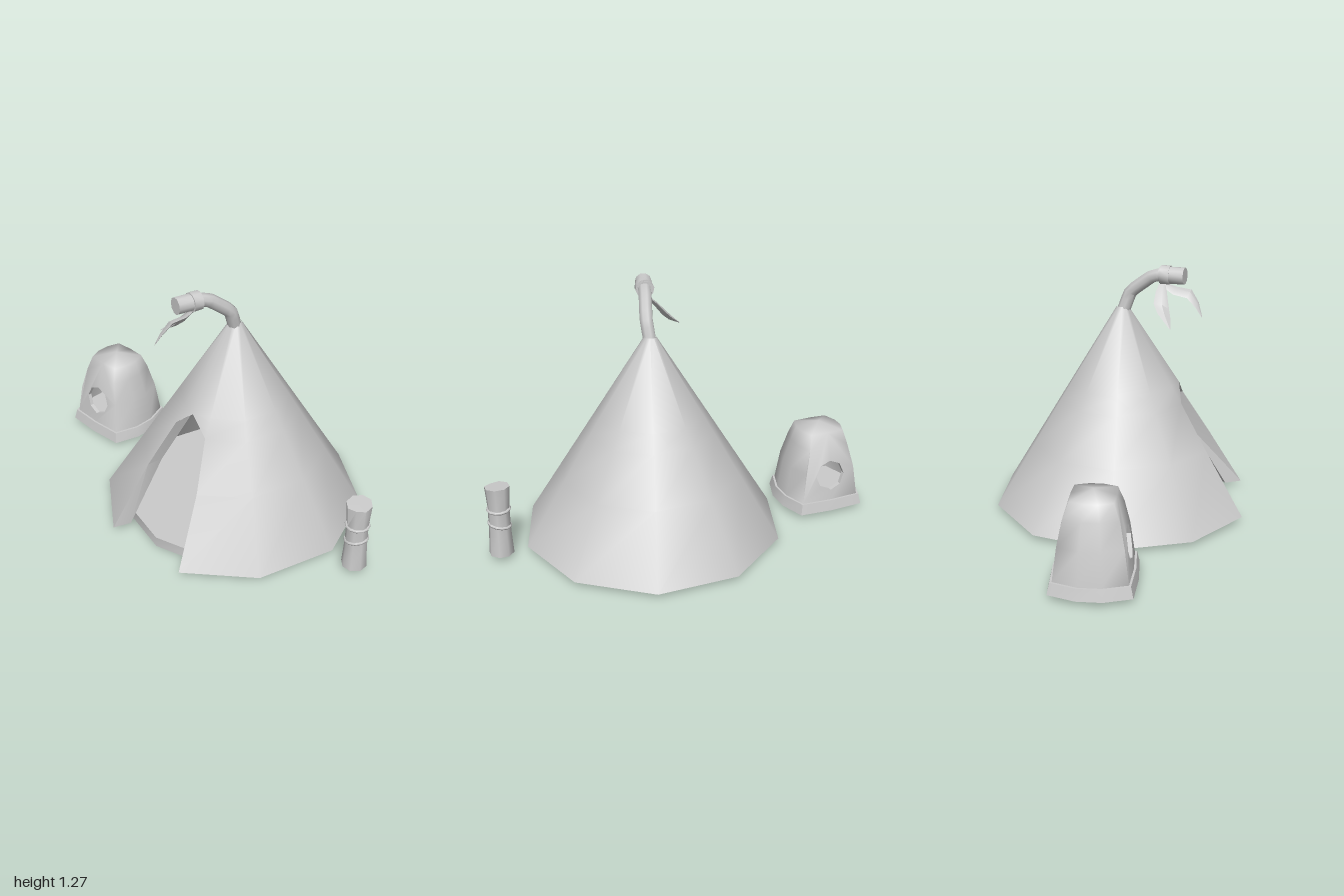
import * as THREE from 'three';
import { mergeGeometries, toCreasedNormals } from 'three/addons/utils/BufferGeometryUtils.js';

const mat = new THREE.MeshStandardMaterial({ color: 0xcccccc });
const thinMat = new THREE.MeshStandardMaterial({ color: 0xcccccc, side: THREE.DoubleSide });
const rad = THREE.MathUtils.degToRad;
const V = (x, y, z) => new THREE.Vector3(x, y, z);

function addMesh(parent, name, geo, material = mat, crease = 0.75) {
  const mesh = new THREE.Mesh(toCreasedNormals(geo, crease), material);
  mesh.name = name;
  parent.add(mesh);
  return mesh;
}

// Surface through rows of points; collapsed triangles are skipped
function grid(rows) {
  const out = [];
  const tri = (a, b, c) => {
    const area = V().subVectors(b, a).cross(V().subVectors(c, a)).length();
    if (area > 1e-7) for (const p of [a, b, c]) out.push(p.x, p.y, p.z);
  };
  for (let j = 0; j + 1 < rows.length; j++) {
    for (let i = 0; i + 1 < rows[j].length; i++) {
      const [a, b, c, d] = [rows[j][i], rows[j][i + 1], rows[j + 1][i + 1], rows[j + 1][i]];
      tri(a, b, c);
      tri(a, c, d);
    }
  }
  const geo = new THREE.BufferGeometry();
  geo.setAttribute('position', new THREE.Float32BufferAttribute(out, 3));
  return geo;
}

function rod(parent, name, a, b, r, sides) {
  const mesh = addMesh(parent, name, new THREE.CylinderGeometry(r, r, a.distanceTo(b), sides), mat, 0.9);
  mesh.position.copy(a).lerp(b, 0.5);
  mesh.quaternion.setFromUnitVectors(V(0, 1, 0), V().subVectors(b, a).normalize());
}

// One ten-sided ring of the tent, opened at the front by the door half-width
function tentRow(y, r, door, push = 0) {
  const half = [18, 54, 90, 126, 162].map(d => V(r * Math.sin(rad(d)), y, r * Math.cos(rad(d))));
  const edge = V(door, y, half[0].z + push);
  if (door > half[0].x) half[0] = edge;
  half.unshift(edge);
  return [...half, ...half.map(p => V(-p.x, p.y, p.z)).reverse()];
}

function makeTent() {
  const tent = new THREE.Group();
  tent.name = 'tent';
  tent.position.x = 0.147;
  const radius = y => 0.661 - (y - 0.025) * 0.616;
  const outer = [[0.025, 0.232], [0.35, 0.168], [0.575, 0.097], [0.66, 0, 0.033], [1.05, 0]]
    .map(([y, door, push]) => tentRow(y, radius(y), door, push));
  const inner = [[0.025, 0.195], [0.35, 0.155], [0.575, 0.085], [0.64, 0], [0.95, 0]]
    .map(([y, door]) => tentRow(y, radius(y) - 0.088, door));
  addMesh(tent, 'outerWall', grid(outer), mat, 0.9);
  addMesh(tent, 'innerWall', grid([...inner].reverse()), mat, 0.9);
  addMesh(tent, 'wallBottom', grid([inner[0], outer[0]]));

  // Door frame joins the two walls around the opening
  const frame = rows => [
    ...rows.slice(0, 4).map(r => r[0]),
    ...rows.slice(0, 3).reverse().map(r => r[r.length - 1]),
  ];
  addMesh(tent, 'doorFrame', grid([frame(outer), frame(inner)]), thinMat, 0.3);

  // Floor: a thin twelve-sided sheet with a skirt, hollow underneath
  const skirt = addMesh(tent, 'floorSkirt',
    new THREE.CylinderGeometry(0.555, 0.555, 0.055, 12, 1, true), thinMat);
  skirt.position.y = 0.0275;
  const floor = addMesh(tent, 'floor',
    new THREE.CircleGeometry(0.555, 12).rotateX(-Math.PI / 2), thinMat);
  floor.position.y = 0.055;
  return tent;
}

// Leaf-like strip with a flat diamond section: centre points, half-widths, width and thickness directions
function ribbon(points, widths, side, up) {
  const row = (s, t) => points.map((p, i) => p.clone()
    .addScaledVector(side, s * widths[i]).addScaledVector(up, t * widths[i]));
  return grid([row(1, 0), row(0, 0.35), row(-1, 0), row(0, -0.35), row(1, 0)]);
}

function makePole() {
  const pole = new THREE.Group();
  pole.name = 'bentPole';
  const curve = new THREE.CatmullRomCurve3([
    V(0.147, 1.02, 0.002), V(0.151, 1.125, 0.042), V(0.115, 1.213, 0.152), V(0.098, 1.225, 0.21),
  ], false, 'catmullrom', 0.15);
  addMesh(pole, 'poleShaft', new THREE.TubeGeometry(curve, 9, 0.033, 8), mat, 0.9);
  rod(pole, 'poleEnd', V(0.1, 1.223, 0.19), V(0.067, 1.225, 0.312), 0.042, 10);
  rod(pole, 'poleCollar', V(0.1, 1.224, 0.195), V(0.09, 1.224, 0.24), 0.047, 10);
  addMesh(pole, 'ribbonLong', ribbon(
    [V(0.09, 1.18, 0.2), V(0.075, 1.15, 0.265), V(0.055, 1.14, 0.335), V(0.035, 1.09, 0.375), V(0.015, 1.035, 0.4)],
    [0.015, 0.03, 0.033, 0.022, 0.003],
    V(0.8, 0.45, 0.3).normalize(), V(-0.4, 0.8, 0.3).normalize()), thinMat);
  addMesh(pole, 'ribbonShort', ribbon(
    [V(0.09, 1.185, 0.205), V(0.045, 1.14, 0.2), V(0, 1.088, 0.202), V(-0.04, 1.05, 0.218), V(-0.105, 1.003, 0.25)],
    [0.015, 0.03, 0.04, 0.033, 0.003],
    V(0.1, 0.3, -0.95).normalize(), V(-0.6, 0.75, 0.2).normalize()), thinMat);
  return pole;
}

function makeHut() {
  const hut = new THREE.Group();
  hut.name = 'smallHut';
  hut.position.set(-0.779, 0, -0.04);
  const plan = [[0, 1], [0.8, 0.95], [1, 0.3], [1, -0.3], [0.8, -0.95], [0, -1],
    [-0.8, -0.95], [-1, -0.3], [-1, 0.3], [-0.8, 0.95], [0, 1]];
  const ring = (y, hx, hz) => plan.map(([x, z]) => V(x * hx, y, z * hz));

  // Plinth
  addMesh(hut, 'hutBase', grid([
    ring(0.025, 0, 0), ring(0.025, 0.221, 0.2), ring(0.08, 0.208, 0.188), ring(0.08, 0, 0),
  ]));

  // Body levels: height, half-width, half-depth
  const levels = [[0.08, 0.198, 0.178], [0.24, 0.175, 0.157], [0.36, 0.138, 0.132], [0.435, 0.115, 0.103]];
  const at = (y, k) => {
    let i = 0;
    while (i < 2 && y > levels[i + 1][0]) i++;
    const [a, b] = [levels[i], levels[i + 1]];
    return THREE.MathUtils.mapLinear(y, a[0], b[0], a[k], b[k]);
  };
  const depth = (x, y) => at(y, 2) * (1 - 0.05 * Math.abs(x) / (0.8 * at(y, 1)));

  // End wall pierced by an eight-sided hole
  const right = levels.map(([y, hx]) => new THREE.Vector2(0.8 * hx, y));
  const left = right.map(p => new THREE.Vector2(-p.x, p.y)).reverse();
  const shape = new THREE.Shape([
    new THREE.Vector2(0, 0.08), ...right, new THREE.Vector2(0, 0.435), ...left]);
  const hole = Array.from({ length: 8 }, (_, i) => new THREE.Vector2(
    0.08 * Math.cos(i * Math.PI / 4), 0.213 + 0.08 * Math.sin(i * Math.PI / 4)));
  shape.holes.push(new THREE.Path(hole));
  const wall = new THREE.ShapeGeometry(shape).toNonIndexed();
  wall.deleteAttribute('normal');
  wall.deleteAttribute('uv');
  const p = wall.attributes.position;
  for (let i = 0; i < p.count; i++) p.setZ(i, depth(p.getX(i), p.getY(i)));

  // Side walls, domed top and both end walls share one smooth skin
  const rings = levels.map(l => ring(...l));
  const body = mergeGeometries([
    grid(rings.map(r => r.slice(1, 5))), grid(rings.map(r => r.slice(6, 10))),
    grid([rings[3], ring(0.463, 0, 0)]), wall, wall.clone().rotateY(Math.PI),
  ]);
  addMesh(hut, 'hutBody', body, thinMat, 1.5);

  const loop = [...hole, hole[0]];
  const rim = grid([0, 0.02].map(d => loop.map(h => V(h.x, h.y, depth(h.x, h.y) - d))));
  for (const [name, turn] of [['front', 0], ['back', Math.PI]]) {
    addMesh(hut, `${name}HoleRim`, rim, thinMat).rotation.y = turn;
  }
  return hut;
}

function makePost() {
  const post = new THREE.Group();
  post.name = 'post';
  post.position.x = 0.939;
  // Hollow shaft, open at the bottom and capped at the top
  const levels = [[0.028, 0.062], [0.15, 0.055], [0.28, 0.053], [0.395, 0.062], [0.395, 0]];
  const rows = levels.map(([y, r], j) => Array.from({ length: 9 }, (_, i) => {
    const a = (i % 8 + 0.5) * Math.PI / 4;
    // Uneven, slightly split top
    const split = j === 3 && i % 8 === 0 ? 0.85 : 1;
    const tilt = j > 2 ? -0.006 * Math.cos(a) * (r / 0.062) : 0;
    return V(r * split * Math.sin(a), y + tilt, r * split * Math.cos(a));
  }));
  addMesh(post, 'postShaft', grid(rows), thinMat, 0.85);
  for (const [y, tilt] of [[0.272, 0], [0.188, 0.22]]) {
    const ringGeo = new THREE.TorusGeometry(0.053, 0.008, 6, 12).rotateX(Math.PI / 2);
    const band = addMesh(post, 'postBand', ringGeo, mat, 1.1);
    band.rotation.z = tilt;
    band.position.y = y;
  }
  return post;
}

export function createModel() {
  const model = new THREE.Group();
  model.name = 'camp';
  model.add(makeTent(), makePole(), makeHut(), makePost());
  return model;
}
